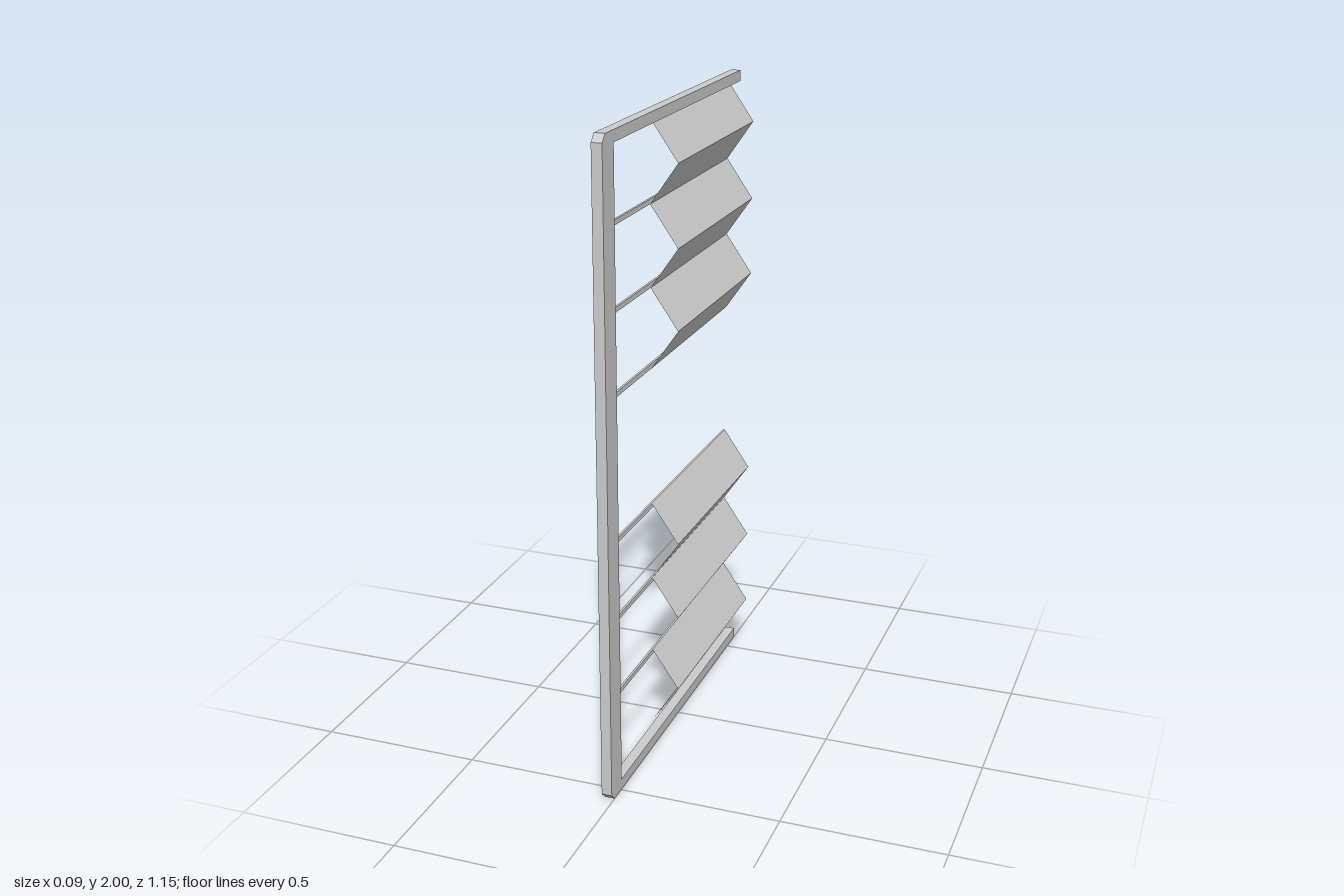
import * as THREE from 'three';

const mat = new THREE.MeshStandardMaterial({ color: 0xcccccc, flatShading: true });
const sheetMat = new THREE.MeshStandardMaterial({ color: 0xcccccc, flatShading: true, side: THREE.DoubleSide });

const VALLEY = -0.04, PEAK = 0.046;      // x of the folds
const FOLD = 0.1248;                     // height of one fold
const BACK = -0.57, PLEAT_FRONT = 0.126; // z extent of the sheets

function add(parent, name, geometry, material = mat) {
  const mesh = new THREE.Mesh(geometry, material);
  mesh.name = name;
  parent.add(mesh);
  return mesh;
}

// C-shaped frame, open at the back, with chamfered front corners
function frameGeometry() {
  const c = 0.022, t = 0.034, front = 0.575, inner = 0.495;
  const outline = [
    [-front, 0], [front - c, 0], [front, c], [front, 2 - c], [front - c, 2], [-front, 2],
    [-front, 2 - t], [inner, 2 - t], [inner, t], [-front, t],
  ].map(([z, y]) => new THREE.Vector2(z, y));
  const geometry = new THREE.ExtrudeGeometry(new THREE.Shape(outline), { depth: 0.032, bevelEnabled: false });
  return geometry.rotateY(-Math.PI / 2);
}

// Zigzag sheet folded from a valley at the bottom to a valley at the top
function pleatGeometry(bottom, folds) {
  const positions = [];
  for (let i = 0; i < folds; i++) {
    const [x0, x1] = i % 2 ? [PEAK, VALLEY] : [VALLEY, PEAK];
    const y0 = bottom + i * FOLD, y1 = y0 + FOLD;
    positions.push(
      x0, y0, PLEAT_FRONT, x0, y0, BACK, x1, y1, BACK,
      x0, y0, PLEAT_FRONT, x1, y1, BACK, x1, y1, PLEAT_FRONT);
  }
  const geometry = new THREE.BufferGeometry();
  geometry.setAttribute('position', new THREE.Float32BufferAttribute(positions, 3));
  geometry.computeVertexNormals();
  return geometry;
}

export function createModel() {
  const model = new THREE.Group();
  model.name = 'pleatedFrame';
  add(model, 'frame', frameGeometry());

  // Two mirrored halves, each a pleated sheet with a rod at every free valley
  const rodHeight = 0.015, rodFront = 0.487;
  for (const upper of [false, true]) {
    const half = new THREE.Group();
    half.name = upper ? 'upperBlind' : 'lowerBlind';
    model.add(half);
    add(half, 'pleatedSheet', pleatGeometry(upper ? 1.217 : 0.034, 6), sheetMat);
    for (let i = 1; i <= 3; i++) {
      const y = 0.034 + i * 2 * FOLD - rodHeight / 2;
      const rod = add(half, 'rod', new THREE.BoxGeometry(0.007, rodHeight, rodFront - BACK));
      rod.position.set(-0.0435, upper ? 2 - y : y, (rodFront + BACK) / 2);
    }
  }
  return model;
}
